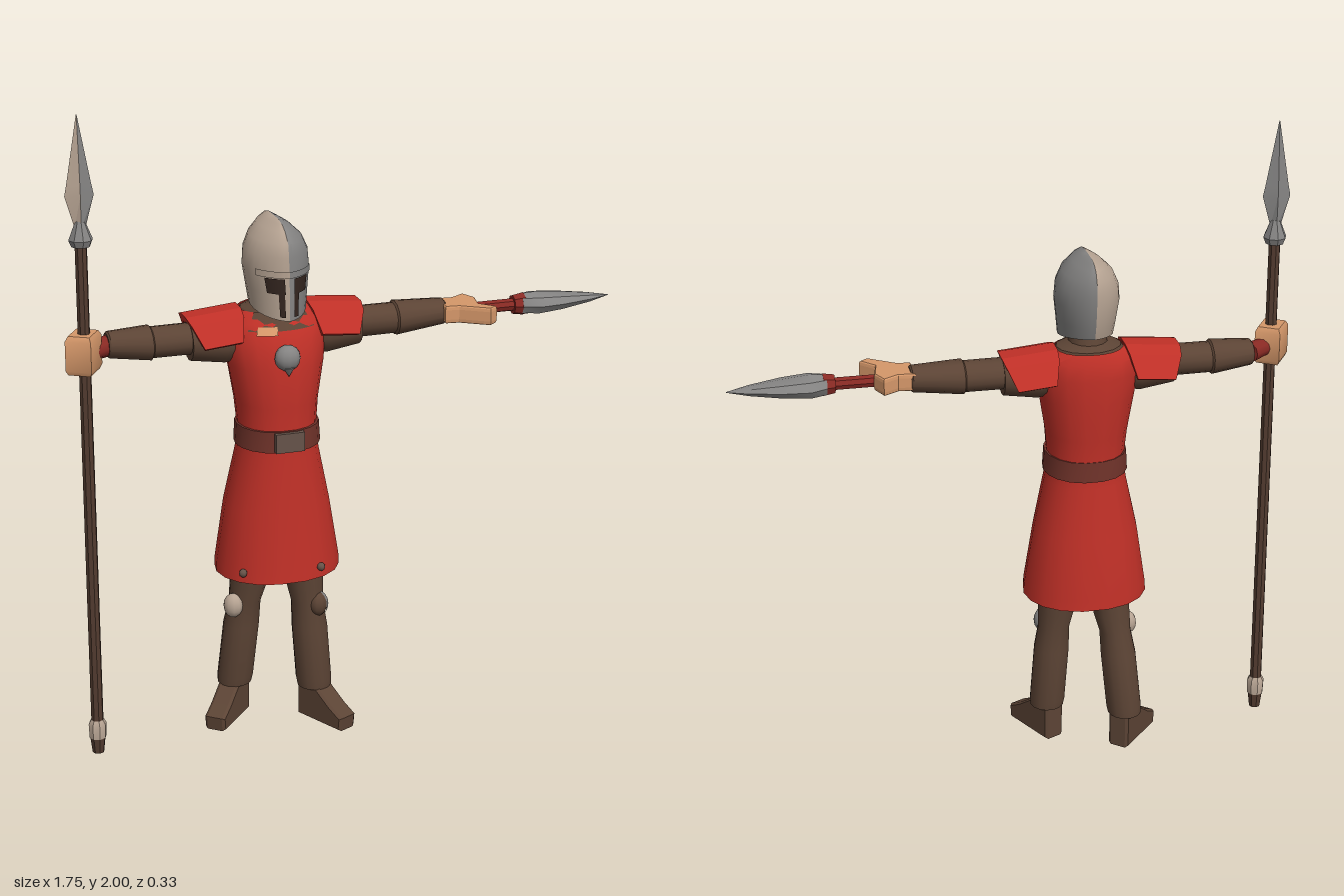
import * as THREE from 'three';
import { toCreasedNormals } from 'three/addons/utils/BufferGeometryUtils.js';

const mat = (name, color, side = THREE.FrontSide) => {
  const m = new THREE.MeshStandardMaterial({ color, side });
  m.name = name;
  return m;
};

// Skin over rings [y, x, z, rx, rz, tilt]; pinch > 1 gives a lens-shaped section, < 1 a boxy one.
function loft(rings, { sides = 14, pinch = 1, from = 0, to = 360, cap = true, crease = 0.7 } = {}) {
  const pos = [], idx = [], row = sides + 1;
  for (const [y, x, z, rx, rz, tilt = 0] of rings) {
    for (let i = 0; i <= sides; i++) {
      const a = THREE.MathUtils.degToRad(from + (to - from) * i / sides);
      const c = Math.cos(a), s = Math.sin(a);
      pos.push(x + rx * Math.sign(c) * Math.abs(c) ** pinch, y + tilt * s, z + rz * s);
    }
  }
  for (let j = 0; j < rings.length - 1; j++) {
    for (let i = 0; i < sides; i++) {
      const p = j * row + i, u = p + row;
      idx.push(p, u, p + 1, p + 1, u, u + 1);
    }
  }
  if (cap) {
    const last = rings.length - 1, c = rings.length * row;
    for (const j of [0, last]) pos.push(rings[j][1], rings[j][0], rings[j][2]);
    for (let i = 0; i < sides; i++) {
      idx.push(c, i, i + 1, c + 1, last * row + i + 1, last * row + i);
    }
  }
  const g = new THREE.BufferGeometry();
  g.setAttribute('position', new THREE.Float32BufferAttribute(pos, 3));
  g.setIndex(idx);
  return toCreasedNormals(g, crease);
}

const round = (list) => list.map(([y, rx, rz = rx]) => [y, 0, 0, rx, rz]);
const outline = (pts) => new THREE.Shape(pts.map(([x, y]) => new THREE.Vector2(x, y)));

export function createModel() {
  const root = new THREE.Group();
  root.name = 'spearGuard';
  const red = mat('red cloth', 0xc03027, THREE.DoubleSide);
  const brown = mat('brown padding', 0x5c4435);
  const steel = mat('steel', 0x858483);
  const pale = mat('pale worn steel', 0xb8a594);
  const skin = mat('skin', 0xd6986a);
  const leather = mat('belt leather', 0x70332a);
  const bronze = mat('buckle bronze', 0x665349);
  const dark = mat('dark opening', 0x33251f, THREE.DoubleSide);
  const wood = mat('shaft wood', 0x533c30);
  const grip = mat('grip red', 0x8a2a24);

  const add = (name, geo, material, x = 0, y = 0, z = 0, parent = root) => {
    const m = new THREE.Mesh(geo, material);
    m.name = name;
    m.position.set(x, y, z);
    parent.add(m);
    return m;
  };
  const CX = -0.225; // body centre line

  // Tunic: open skirt, waist, chest and shoulders
  add('tunic', loft([
    [0.53, 0, 0, 0.194, 0.167], [0.56, 0, 0, 0.193, 0.164], [0.75, 0, 0, 0.163, 0.147],
    [0.92, 0, 0.01, 0.127, 0.126], [0.98, 0, 0.01, 0.118, 0.122], [1.08, 0, 0.005, 0.127, 0.127],
    [1.2, 0, 0.002, 0.147, 0.132], [1.28, 0, -0.01, 0.158, 0.12], [1.33, 0, -0.02, 0.15, 0.105],
    [1.36, 0, -0.025, 0.105, 0.085],
  ], { sides: 18, cap: false, pinch: 0.88 }), red, CX);
  add('collar', loft([[1.31, 0, -0.02, 0.13, 0.1], [1.362, 0, -0.02, 0.1, 0.08], [1.375, 0, -0.01, 0.06, 0.065],
    [1.43, 0, 0, 0.055, 0.06]]), brown, CX);
  // Neckline, with a little bare skin on the right
  const neckRings = (y0, y1) => [y0, y1].map((y) => {
    const t = (y - 1.3) / 0.06;
    return [y, 0, -0.014 - t * 0.011, 0.157 - t * 0.047, 0.118 - t * 0.028];
  });
  add('neckline', loft(neckRings(1.312, 1.362), { sides: 8, from: 48, to: 132, cap: false, pinch: 0.88 }), brown, CX);
  add('bareNeck', loft(neckRings(1.302, 1.325), { sides: 4, from: 96, to: 120, cap: false, pinch: 0.88 }),
    skin, CX, 0, 0.004);
  add('belt', loft([[0.945, 0, 0.012, 0.131, 0.131], [1.01, 0, 0.012, 0.127, 0.129]],
    { sides: 18, pinch: 0.88 }), leather, CX);
  add('buckle', new THREE.BoxGeometry(0.09, 0.06, 0.03), bronze, CX, 0.978, 0.137);

  // Chest boss and hem studs
  add('chestBoss', new THREE.SphereGeometry(0.04, 12, 8), steel, CX, 1.238, 0.127).scale.z = 0.8;
  add('bossPoint', new THREE.ConeGeometry(0.018, 0.03, 8), steel, CX, 1.198, 0.14).rotation.x = Math.PI;
  for (const [x, z] of [[-0.37, 0.122], [-0.13, 0.15]]) {
    add('hemStud', new THREE.SphereGeometry(0.013, 8, 6), bronze, x, 0.565, z);
  }

  // Helmet: two halves meeting in a sharp fore-and-aft ridge, the right one paler
  for (const flip of [false, true]) {
    const side = flip ? 'right' : 'left', metal = flip ? pale : steel;
    const span = (a, b) => (flip ? { from: 180 - b, to: 180 - a } : { from: a, to: b });
    add(side + 'HelmetHalf', loft([
      [1.383, 0, 0.025, 0.083, 0.13, -0.024], [1.44, 0, 0.02, 0.09, 0.135], [1.5, 0, 0.013, 0.098, 0.138],
      [1.55, 0, 0.012, 0.094, 0.138], [1.59, 0, 0.01, 0.076, 0.132], [1.62, 0, 0.004, 0.045, 0.11],
      [1.635, 0, 0, 0.02, 0.085], [1.643, 0, -0.003, 0.005, 0.05],
    ], { sides: 14, pinch: 1.3, crease: 0.6, ...span(-90, 90) }), metal, CX);
    add(side + 'Brow', loft([[1.49, 0, 0.014, 0.101, 0.142], [1.51, 0, 0.014, 0.101, 0.142]],
      { sides: 12, pinch: 1.3, cap: false, ...span(30, 90) }), metal, CX);
    const opening = (name, y0, y1, a, b) => add(side + name, loft([
      [y0, 0, 0.023, 0.09, 0.137], [y1, 0, 0.015, 0.1, 0.141],
    ], { sides: 6, pinch: 1.3, cap: false, ...span(a, b) }), dark, CX);
    opening('EyeSlit', 1.442, 1.488, 44, 77);
    opening('BreathSlot', 1.372, 1.442, 66, 77);
  }

  // Legs: hip and shin positions, toe-out angle
  const legs = [
    { side: 'left', hx: -0.145, hz: 0.01, sx: -0.112, sz: 0.022, toe: 0.45 },
    { side: 'right', hx: -0.295, hz: -0.035, sx: -0.343, sz: -0.082, toe: -0.72 },
  ];
  const footShape = outline([[-0.036, 0], [0.142, 0], [0.146, 0.035], [0.1, 0.06], [0.03, 0.11], [-0.036, 0.12]]);
  for (const l of legs) {
    const mix = (t, y, r) => [y, l.hx + (l.sx - l.hx) * t, l.hz + (l.sz - l.hz) * t, r, r * 1.04];
    add(l.side + 'Leg', loft([mix(1, 0.115, 0.053), mix(0.95, 0.14, 0.056), mix(0.6, 0.32, 0.056),
      mix(0.4, 0.4, 0.05), mix(0.2, 0.46, 0.058), mix(-0.2, 0.7, 0.062)]), brown);
    // Boot
    const g = new THREE.ExtrudeGeometry(footShape, {
      depth: 0.05, bevelEnabled: true, bevelSize: 0.006, bevelThickness: 0.009, bevelSegments: 1 });
    g.translate(0, 0.012, -0.025);
    g.rotateY(-Math.PI / 2);
    add(l.side + 'Boot', g, brown, l.sx, 0, l.sz).rotation.y = l.toe;
  }
  // Knee plates: pale on the right, brown with a steel outer edge on the left
  const kneeAt = (name, geo, m, x, z, turn) => {
    const k = add(name, geo, m, x, 0.4, z);
    k.scale.set(0.9, 1.15, 0.8);
    k.rotation.y = turn;
  };
  kneeAt('rightKneePlate', new THREE.SphereGeometry(0.034, 10, 8), pale, -0.362, -0.018, -0.5);
  kneeAt('leftKneePlate', new THREE.SphereGeometry(0.034, 10, 8), brown, -0.108, 0.055, 0.5);
  kneeAt('leftKneeEdge', new THREE.SphereGeometry(0.036, 6, 8, Math.PI * 0.65, Math.PI * 0.6), steel,
    -0.108, 0.055, 0.25);

  // Arms and arched shoulder plates
  const arch = outline([[-0.12, -0.04], [-0.075, 0.022], [-0.03, 0.038], [0.03, 0.038], [0.075, 0.022],
    [0.12, -0.04], [0.1, -0.05], [0.06, 0], [-0.06, 0], [-0.1, -0.05]]);
  for (const s of [1, -1]) {
    const side = s > 0 ? 'left' : 'right';
    const arm = new THREE.Group();
    arm.name = side + 'Arm';
    arm.position.set(CX + s * 0.1, 1.285, -0.01);
    arm.rotation.z = -s * Math.PI / 2;
    root.add(arm);
    const end = s > 0 ? 0.445 : 0.415;
    add(side + 'UpperSleeve', loft([[0, s * 0.01, 0, 0.066, 0.06], [0.06, s * 0.015, 0, 0.07, 0.062],
      [0.165, s * 0.008, 0, 0.06, 0.06]]), brown, 0, 0, 0, arm);
    add(side + 'ForearmSleeve', loft([[0.15, 0, 0, 0.048, 0.052], [0.28, 0, 0, 0.047, 0.053],
      [0.285, 0, 0, 0.053, 0.06], [end - 0.005, -s * 0.006, 0, 0.04, 0.047],
      [end, -s * 0.006, 0, 0.035, 0.042]]), brown, 0, 0, 0, arm);
    // Plate, narrowing from the ridge to its lower edges
    const g = new THREE.ExtrudeGeometry(arch, { depth: 0.172, bevelEnabled: false });
    g.translate(0, 0, -0.086);
    g.rotateY(Math.PI / 2);
    const p = g.attributes.position;
    for (let i = 0; i < p.count; i++) p.setX(i, p.getX(i) * (1 - (0.038 - p.getY(i)) * 4));
    g.computeVertexNormals();
    add(side + 'ShoulderPlate', g, red, CX + s * 0.186, 1.322, -0.03).rotation.z = -s * 0.09;
  }

  // Right hand gripping the spear
  const wrist = add('rightWrist', new THREE.CylinderGeometry(0.028, 0.032, 0.08, 10), grip, -0.768, 1.288, 0.01);
  wrist.rotation.set(0, 0.6, Math.PI / 2);
  const fist = add('rightHand', loft(round([[-0.058, 0.048, 0.06], [-0.045, 0.056, 0.068],
    [0.045, 0.056, 0.068], [0.06, 0.046, 0.056]]), { sides: 4, from: 45, to: 405 }), skin, -0.822, 1.293, 0.047);
  fist.rotation.y = -0.57;

  // Tall spear
  const spear = new THREE.Group();
  spear.name = 'spear';
  spear.position.set(-0.82, 0, 0.05);
  root.add(spear);
  const turned = (name, list, m, opts) => add(name, loft(round(list), { sides: 8, ...opts }), m, 0, 0, 0, spear);
  turned('spearShaft', [[0.05, 0.019], [1.64, 0.018]], wood);
  turned('spearButt', [[0.005, 0.018], [0.055, 0.024]], wood);
  turned('buttCap', [[0.055, 0.026], [0.1, 0.028], [0.115, 0.02]], pale);
  turned('spearSocket', [[1.615, 0.028], [1.635, 0.036], [1.655, 0.028], [1.69, 0.014]], steel);
  const head = [[1.67, 0.016, 0.015], [1.765, 0.043, 0.017], [1.8, 0.036, 0.016], [2, 0.001, 0.001]];
  turned('spearHead', head, steel, { sides: 3, from: 180, to: 450, crease: 0.3 });
  turned('spearHeadPaleFace', head, pale, { sides: 1, from: 90, to: 180, crease: 0.3 });

  // Left hand: palm with thumb, held flat
  const palm = outline([[0.31, 0.045], [0.35, 0.05], [0.43, 0.105], [0.452, 0.088], [0.412, 0.045],
    [0.425, -0.02], [0.405, -0.066], [0.36, -0.04], [0.31, -0.045]]);
  const palmGeo = new THREE.ExtrudeGeometry(palm, {
    depth: 0.03, bevelEnabled: true, bevelSize: 0.004, bevelThickness: 0.012, bevelSegments: 2 });
  palmGeo.rotateX(Math.PI / 2);
  add('leftHand', palmGeo, skin, 0, 1.308, 0);

  // Short blade held straight out
  const dagger = new THREE.Group();
  dagger.name = 'shortBlade';
  dagger.position.set(0, 1.29, 0);
  dagger.rotation.z = -Math.PI / 2;
  root.add(dagger);
  add('bladeGrip', loft(round([[0.38, 0.02], [0.55, 0.02]]), { sides: 8 }), grip, 0, 0, 0, dagger);
  add('bladeCollar', loft(round([[0.545, 0.03], [0.58, 0.036]]), { sides: 8 }), grip, 0, 0, 0, dagger);
  add('blade', loft(round([[0.57, 0.033, 0.035], [0.62, 0.035, 0.057], [0.7, 0.028, 0.05],
    [0.8, 0.014, 0.027], [0.868, 0.001, 0.001]]), { sides: 8, crease: 0.5 }), steel, 0, 0, 0, dagger);

  return root;
}
